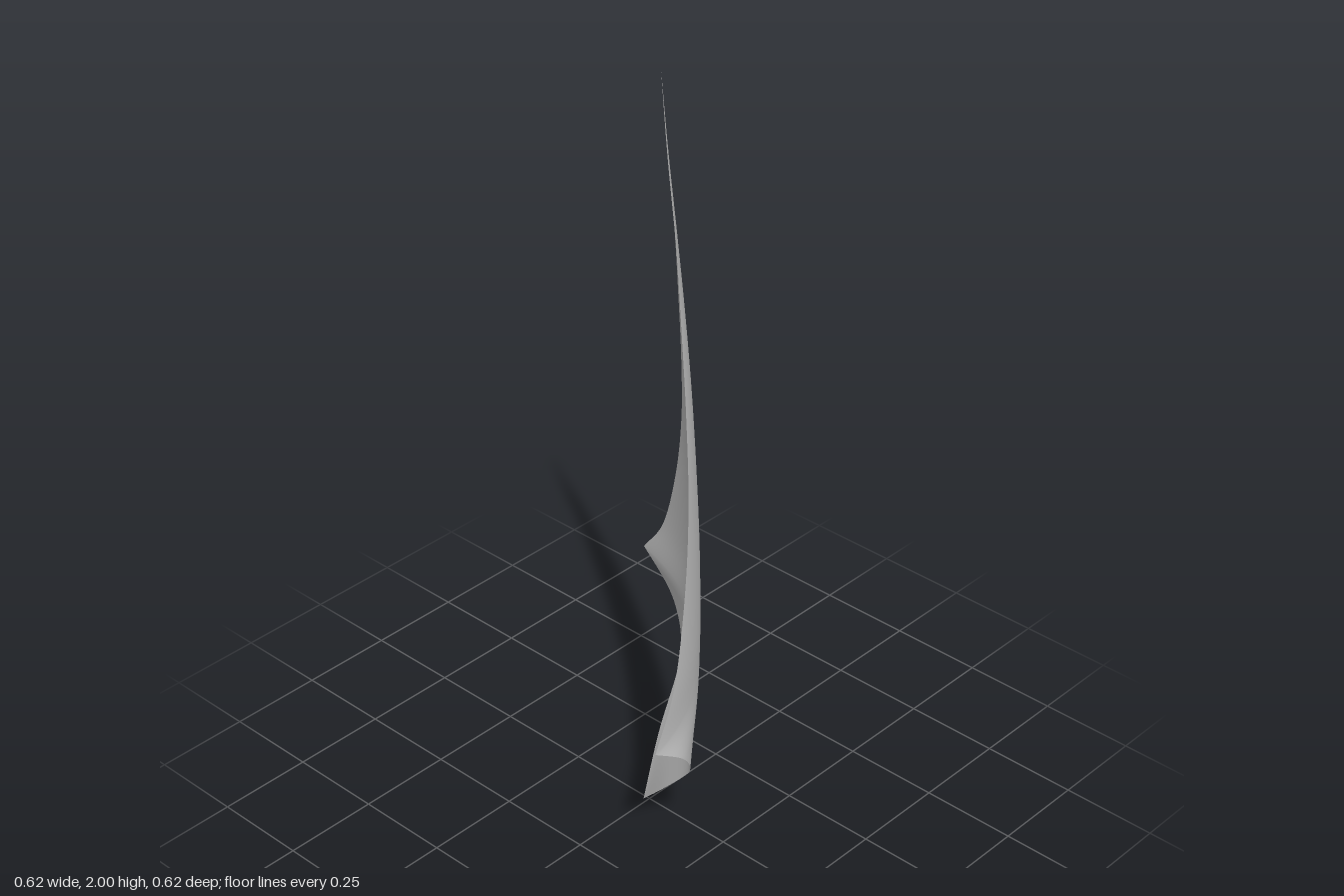
import * as THREE from 'three';

// Rows across the sheet: [height, half width, depth at the rim, depth on the centre line]
const upperRows = [
  [2, 0, 0.025, 0.025],
  [1.8, 0.028, 0.039, 0.042],
  [1.6, 0.057, 0.057, 0.062],
  [1.4, 0.098, 0.069, 0.081],
  [1.2, 0.141, 0.079, 0.097],
  [1, 0.198, 0.083, 0.109],
  [0.8, 0.265, 0.073, 0.118],
  [0.6, 0.35, 0.046, 0.122],
  [0.475, 0.435, 0, 0.121],
];
const lowerRows = [
  [0.475, 0.435, 0, 0.121],
  [0.41, 0.362, 0.054, 0.118],
  [0.36, 0.314, 0.079, 0.112],
  [0.3, 0.267, 0.089, 0.101],
  [0.24, 0.216, 0.078, 0.083],
  [0.12, 0.115, 0.027, 0.031],
  [0, 0, -0.015, -0.015],
];

// Smooth curves through the rim and the centre line of one half
function makeHalf(rows) {
  const curve = (f) => new THREE.CatmullRomCurve3(rows.map(f), false, 'catmullrom', 0.5);
  return {
    rim: curve(([y, w, d]) => new THREE.Vector3(w, y, d)),
    centre: curve(([y, , , c]) => new THREE.Vector3(0, y, c)),
  };
}

export function createModel() {
  const group = new THREE.Group();
  const halves = [makeHalf(upperRows), makeHalf(lowerRows)];
  const columns = 40, rowsPerHalf = 48;

  // Curved four-pointed sheet, bowed towards one diagonal
  const geometry = new THREE.PlaneGeometry(1, 1, columns, rowsPerHalf * 2);
  const pos = geometry.attributes.position;
  for (let r = 0; r <= rowsPerHalf * 2; r++) {
    const half = halves[r <= rowsPerHalf ? 0 : 1];
    const t = r <= rowsPerHalf ? r / rowsPerHalf : r / rowsPerHalf - 1;
    const rim = half.rim.getPoint(t);
    const centre = half.centre.getPoint(t);
    for (let c = 0; c <= columns; c++) {
      const k = (c / columns) * 2 - 1;
      const s = rim.x * k;
      const d = THREE.MathUtils.lerp(centre.z, rim.z, Math.abs(k) ** 2.2);
      pos.setXYZ(r * (columns + 1) + c, (s + d) * Math.SQRT1_2, rim.y, (s - d) * Math.SQRT1_2);
    }
  }
  geometry.computeVertexNormals();

  const sheet = new THREE.Mesh(
    geometry,
    new THREE.MeshStandardMaterial({ color: 0xcccccc, side: THREE.DoubleSide })
  );
  sheet.name = 'curvedSheet';
  group.add(sheet);
  return group;
}
